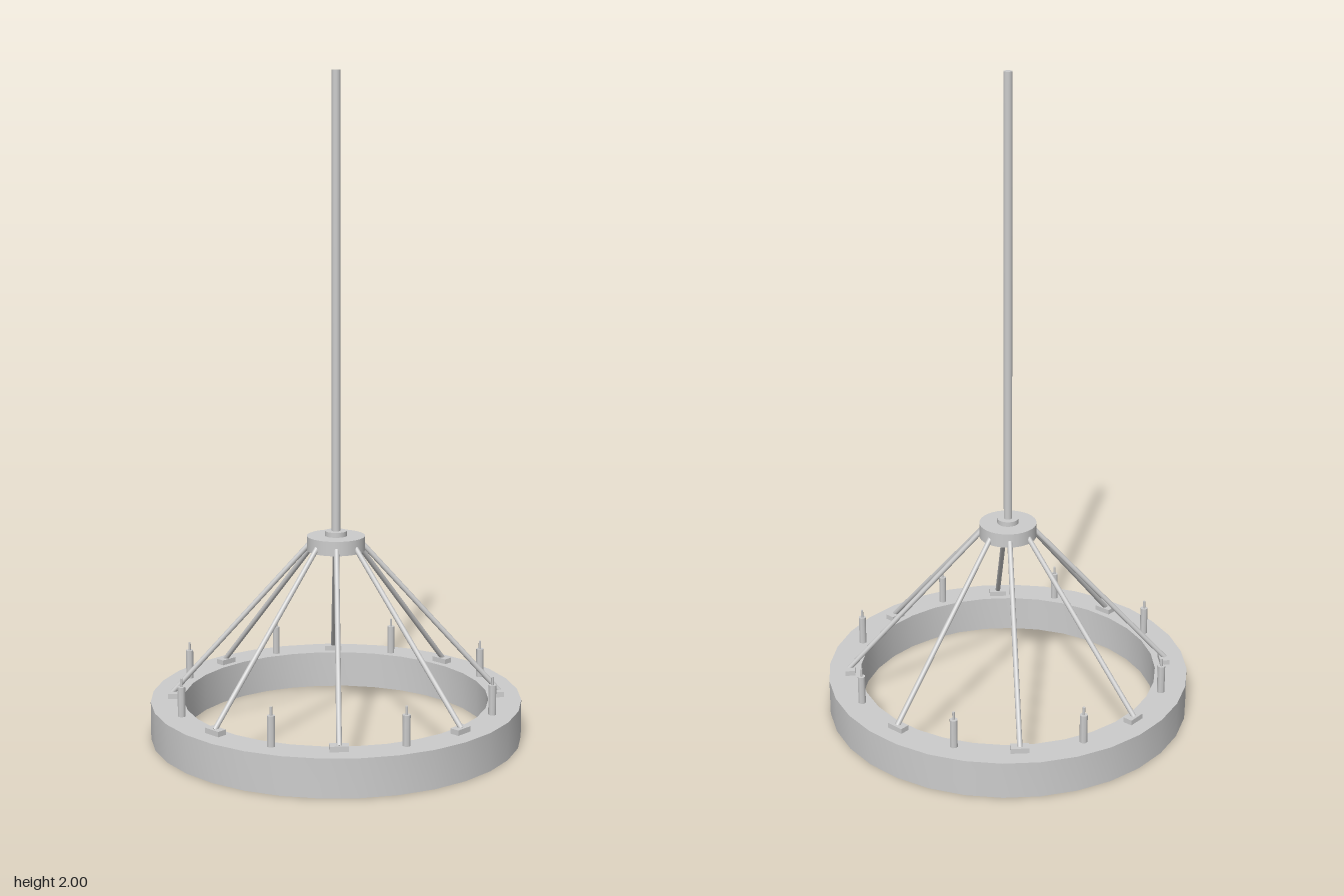
import * as THREE from 'three';
import { toCreasedNormals } from 'three/addons/utils/BufferGeometryUtils.js';

export function createModel() {
  const model = new THREE.Group();
  model.name = 'ringChandelier';
  const metal = new THREE.MeshStandardMaterial({ color: 0xcccccc });
  metal.name = 'greyMetal';

  const add = (parent, name, geometry, x = 0, y = 0, z = 0) => {
    const mesh = new THREE.Mesh(geometry, metal);
    mesh.name = name;
    mesh.position.set(x, y, z);
    parent.add(mesh);
    return mesh;
  };
  // Upright cylinder standing between two heights
  const post = (r, y0, y1, sides) =>
    new THREE.CylinderGeometry(r, r, y1 - y0, sides).translate(0, (y0 + y1) / 2, 0);

  // Rim: rectangular section swept round the axis
  const RIM_TOP = 0.115;
  const section = [[0.465, 0], [0.565, 0], [0.565, RIM_TOP], [0.465, RIM_TOP], [0.465, 0]]
    .map(([r, y]) => new THREE.Vector2(r, y));
  add(model, 'rim', toCreasedNormals(new THREE.LatheGeometry(section, 32), 0.6));

  // Central hub, collar and hanging pole
  add(model, 'hub', post(0.088, 0.572, 0.616, 32));
  add(model, 'collar', post(0.033, 0.616, 0.631, 32));
  add(model, 'pole', post(0.013, 0.616, 2, 16));

  // Shared geometry for the repeated parts
  const R = 0.497;
  const padGeo = new THREE.BoxGeometry(0.03, 0.016, 0.055);
  const start = new THREE.Vector3(0.078, 0.594, 0);
  const end = new THREE.Vector3(0.5, 0.128, 0);
  const along = end.clone().sub(start);
  const rodGeo = new THREE.CylinderGeometry(0.008, 0.008, along.length(), 12);
  const candleGeo = post(0.012, RIM_TOP, 0.205, 8);
  const wickGeo = post(0.004, 0.205, 0.23, 8);

  // Eight stays with foot pads, a candle halfway between each pair
  for (let i = 0; i < 8; i++) {
    const angle = THREE.MathUtils.degToRad(5.75 + i * 45);

    const stay = new THREE.Group();
    stay.name = 'stay' + (i + 1);
    stay.rotation.y = -angle;
    add(stay, 'footPad', padGeo, R, RIM_TOP + 0.008, 0);
    const rod = add(stay, 'rod', rodGeo);
    rod.position.copy(start).add(end).multiplyScalar(0.5);
    rod.quaternion.setFromUnitVectors(new THREE.Vector3(0, 1, 0), along.clone().normalize());
    model.add(stay);

    const candle = new THREE.Group();
    candle.name = 'candle' + (i + 1);
    candle.rotation.y = -angle - Math.PI / 8;
    add(candle, 'candleStick', candleGeo, R, 0, 0);
    add(candle, 'wick', wickGeo, R, 0, 0);
    model.add(candle);
  }
  return model;
}
